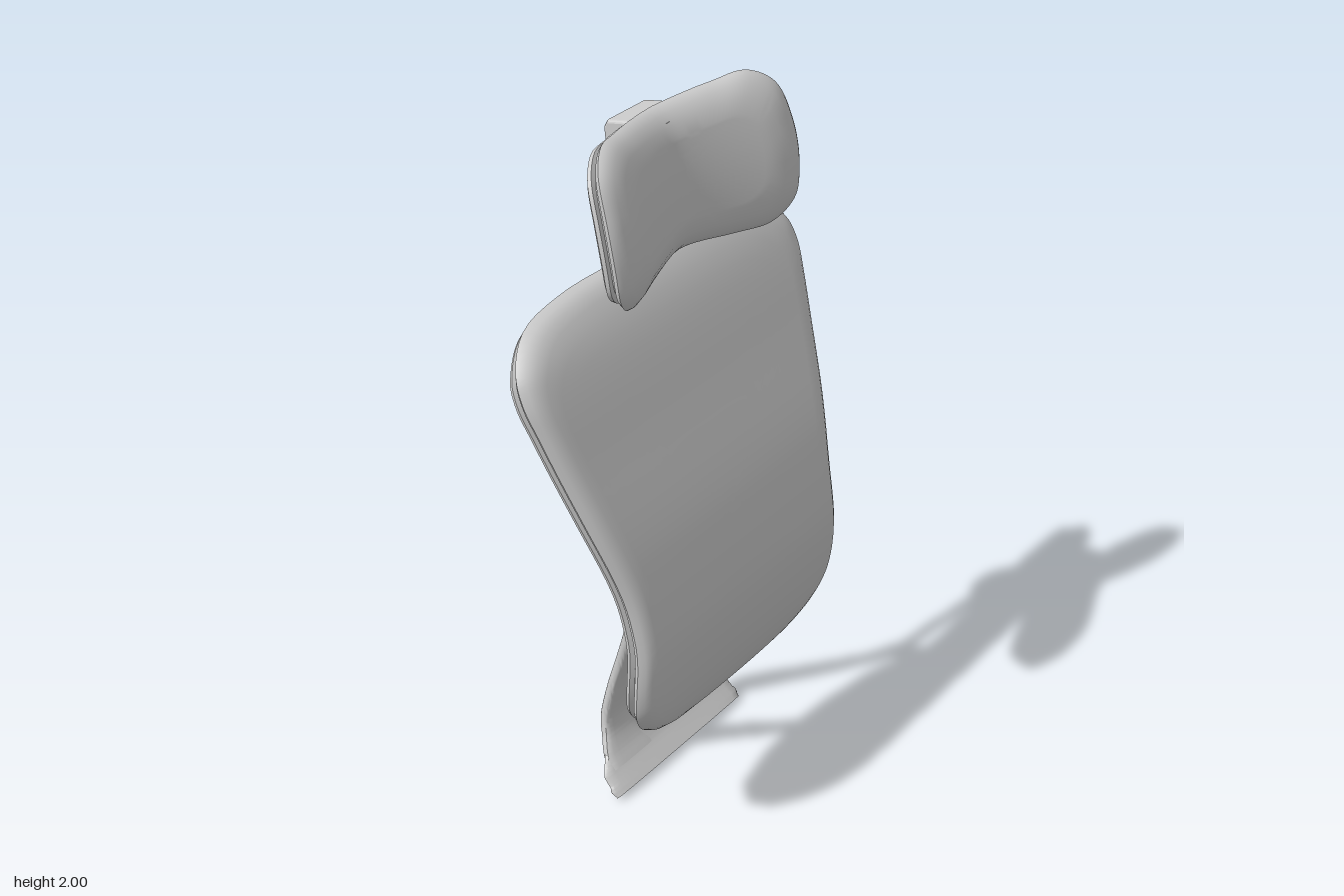
import * as THREE from 'three';
import { toCreasedNormals } from 'three/addons/utils/BufferGeometryUtils.js';

const V = (x, y, z) => new THREE.Vector3(x, y, z);

// Skin a list of closed rings (arrays of Vector3, equal length)
function skin(rings, crease = 0.7) {
  const n = rings[0].length, index = [];
  for (let j = 0; j < rings.length - 1; j++)
    for (let i = 0; i < n; i++) {
      const k = (i + 1) % n, a = j * n + i, b = j * n + k;
      index.push(a, b, a + n, b, b + n, a + n);
    }
  const g = new THREE.BufferGeometry().setFromPoints(rings.flat());
  g.setIndex(index);
  return toCreasedNormals(g, crease);
}

// Smooth function through [position, value] pairs
function through(table) {
  const slope = (i) => {
    const a = table[Math.max(i - 1, 0)], b = table[Math.min(i + 1, table.length - 1)];
    return (b[1] - a[1]) / (b[0] - a[0]);
  };
  return (y) => {
    let i = 0;
    while (i < table.length - 2 && y > table[i + 1][0]) i++;
    const [y0, v0] = table[i], [y1, v1] = table[i + 1], h = y1 - y0;
    if (y < y0) return v0 + (y - y0) * slope(i);
    if (y > y1) return v1 + (y - y1) * slope(i + 1);
    const t = (y - y0) / h, t2 = t * t, t3 = t2 * t;
    return v0 * (2 * t3 - 3 * t2 + 1) + h * slope(i) * (t3 - 2 * t2 + t)
      + v1 * (3 * t2 - 2 * t3) + h * slope(i + 1) * (t3 - t2);
  };
}

// Padded panel: right half outline (top centre to bottom centre), a bent surface,
// and an edge section of [inset, depth] pairs from front to back
function padded(half, surface, section, hw, hh) {
  const mirrored = half.slice(1, -1).reverse().map(([x, y]) => [-x, y]);
  const outline = new THREE.CatmullRomCurve3(
    [...half, ...mirrored].map(([x, y]) => V(x, y, 0)), true).getPoints(120).slice(0, -1);
  const cy = (half[0][1] + half[half.length - 1][1]) / 2, e = 0.002;
  const ring = (inset, depth, s = 1) => outline.map((p) => {
    const x = p.x * (1 - inset / hw) * s, y = cy + (p.y - cy) * (1 - inset / hh) * s;
    const n = V(-(surface(x + e, y) - surface(x - e, y)) / (2 * e),
      -(surface(x, y + e) - surface(x, y - e)) / (2 * e), 1).normalize();
    return V(x, y, surface(x, y)).addScaledVector(n, depth);
  });
  const rings = [], first = section[0], last = section[section.length - 1], steps = 14;
  for (let k = 0; k < steps; k++) rings.push(ring(...first, k / steps));
  section.forEach((s) => rings.push(ring(...s)));
  for (let k = steps - 1; k >= 0; k--) rings.push(ring(...last, k / steps));
  return skin(rings);
}

// Ribbon swept along rows of [x, y, z, halfWidth, halfThickness]; width lies along `side`
function sweep(rows, side, steps = 48) {
  const path = new THREE.CatmullRomCurve3(rows.map((r) => V(r[0], r[1], r[2])));
  const size = new THREE.CatmullRomCurve3(rows.map((r) => V(r[3], r[4], 0)));
  const soft = (v) => Math.sign(v) * Math.abs(v) ** 0.6;
  const rings = [];
  const ring = (t, s) => {
    const c = path.getPoint(t), w = size.getPoint(t);
    const across = side.clone().cross(path.getTangent(t)).normalize();
    return Array.from({ length: 20 }, (_, i) => {
      const a = (i / 20) * Math.PI * 2;
      return c.clone().addScaledVector(across, soft(Math.cos(a)) * w.y * s)
        .addScaledVector(side, soft(Math.sin(a)) * w.x * s);
    });
  };
  rings.push(ring(0, 0));
  for (let k = 0; k <= steps; k++) rings.push(ring(k / steps, 1));
  rings.push(ring(1, 0));
  return skin(rings);
}

export function createModel() {
  const model = new THREE.Group();
  model.name = 'chairBack';
  const grey = new THREE.MeshStandardMaterial({ color: 0xcccccc });
  grey.name = 'light grey';
  const add = (name, geometry) => {
    const mesh = new THREE.Mesh(geometry, grey);
    mesh.name = name;
    model.add(mesh);
    return mesh;
  };
  const X = V(1, 0, 0), Y = V(0, 1, 0);

  // Backrest: cushion, groove, rim and recessed back
  const backZ = through([[0.31, 0.155], [0.354, 0.183], [0.466, 0.217], [0.61, 0.234], [0.73, 0.229],
    [0.936, 0.18], [1.217, 0.075], [1.465, -0.025], [1.58, -0.1]]);
  add('backrest', padded(
    [[0, 1.588], [0.3, 1.59], [0.47, 1.56], [0.545, 1.495], [0.56, 1.43], [0.545, 1.33], [0.497, 1.1],
      [0.444, 0.862], [0.434, 0.73], [0.434, 0.545], [0.418, 0.46], [0.36, 0.378], [0.25, 0.322], [0, 0.298]],
    (x, y) => backZ(y),
    [[0.05, 0], [0.03, -0.004], [0.012, -0.014], [0, -0.032], [0.008, -0.046], [0.022, -0.05],
      [0.022, -0.056], [0.01, -0.064], [0.012, -0.074], [0.028, -0.082], [0.042, -0.077],
      [0.05, -0.064], [0.11, -0.05]], 0.5, 0.64));

  // Headrest: curved pillow with a recessed shell behind
  add('headrest', padded(
    [[0, 1.992], [0.17, 2.002], [0.27, 2.008], [0.33, 1.967], [0.352, 1.868], [0.352, 1.735],
      [0.335, 1.65], [0.275, 1.596], [0.17, 1.593], [0, 1.61]],
    (x, y) => 0.03 + 0.11 * (Math.abs(x) / 0.34) ** 1.5 - 0.5 * (y - 1.7) ** 2 - 0.1 * (y - 1.7),
    [[0.09, 0], [0.055, -0.005], [0.025, -0.017], [0.006, -0.032], [0, -0.044], [0.008, -0.055],
      [0.022, -0.059], [0.022, -0.063], [0.012, -0.068], [0.014, -0.079], [0.027, -0.086],
      [0.068, -0.086], [0.08, -0.078], [0.085, -0.066]], 0.35, 0.2));

  // Headrest bracket: open loop across the middle of the shell
  const loop = (pts, Type) => new Type(pts.map(([z, y]) => new THREE.Vector2(z, y)));
  const bracket = loop([[-0.04, 1.94], [-0.1, 1.952], [-0.155, 1.94], [-0.163, 1.925], [-0.134, 1.635],
    [-0.122, 1.625], [-0.02, 1.635]], THREE.Shape);
  bracket.holes.push(loop([[-0.062, 1.905], [-0.05, 1.68], [-0.095, 1.675], [-0.12, 1.9]], THREE.Path));
  const bracketGeometry = new THREE.ExtrudeGeometry(bracket,
    { depth: 0.14, bevelSize: 0.007, bevelThickness: 0.01, bevelSegments: 3 });
  bracketGeometry.translate(0, 0, -0.07).rotateY(-Math.PI / 2);
  add('headrestBracket', bracketGeometry);

  // Neck: fork around the bracket and a curved stem down to the frame
  add('neckFork', sweep([[0.088, 1.75, -0.1, 0.018, 0.014], [0.09, 1.745, -0.14, 0.018, 0.014],
    [0.06, 1.715, -0.185, 0.022, 0.014], [0, 1.695, -0.2, 0.03, 0.015],
    [-0.06, 1.715, -0.185, 0.022, 0.014], [-0.09, 1.745, -0.14, 0.018, 0.014],
    [-0.088, 1.75, -0.1, 0.018, 0.014]], Y));
  add('neckStem', sweep([[0, 1.715, -0.193, 0.045, 0.013], [0, 1.67, -0.21, 0.038, 0.015],
    [0, 1.6, -0.217, 0.034, 0.016], [0, 1.53, -0.19, 0.04, 0.016], [0, 1.47, -0.115, 0.055, 0.016]], X));

  // Rear frame: two rails that run down into legs, a top bar and a foot plate
  const frameZ = through([[0.01, 0.004], [0.07, -0.05], [0.15, -0.093], [0.23, -0.1], [0.36, -0.068],
    [0.6, 0.01], [0.66, 0.023], [0.73, 0.028], [0.9, -0.004], [1.49, -0.115]]);
  const rail = [[0.06, 0.06, 0.255], [0.1, 0.083, 0.245], [0.15, 0.105, 0.222], [0.2, 0.111, 0.214],
    [0.31, 0.12, 0.205], [0.42, 0.137, 0.205], [0.55, 0.16, 0.22], [0.7, 0.185, 0.245],
    [0.9, 0.214, 0.268], [1.2, 0.256, 0.31], [1.49, 0.3, 0.352]];
  for (const s of [1, -1]) {
    const side = s > 0 ? 'left' : 'right';
    add(side + 'Rail', sweep(rail.map(([y, a, b]) =>
      [s * (a + b) / 2, y, frameZ(y), (b - a) / 2, 0.017]), X, 80));
    // Arm joining the rail to the backrest
    add(side + 'Arm', sweep([[s * 0.212, 0.66, 0.012, 0.075, 0.016], [s * 0.235, 0.675, 0.05, 0.045, 0.02],
      [s * 0.265, 0.685, 0.1, 0.03, 0.022], [s * 0.31, 0.685, 0.185, 0.034, 0.026]], Y, 24));
  }
  add('topBar', sweep([[-0.35, 1.475, -0.112, 0.024, 0.017], [0, 1.475, -0.112, 0.024, 0.017],
    [0.35, 1.475, -0.112, 0.024, 0.017]], Y, 8));
  add('footPlate', sweep([[0.01, 0.285], [0.035, 0.285], [0.06, 0.283], [0.08, 0.265], [0.102, 0.245]]
    .map(([y, w]) => [0, y, frameZ(y), w, 0.015]), X, 20));

  return model;
}
